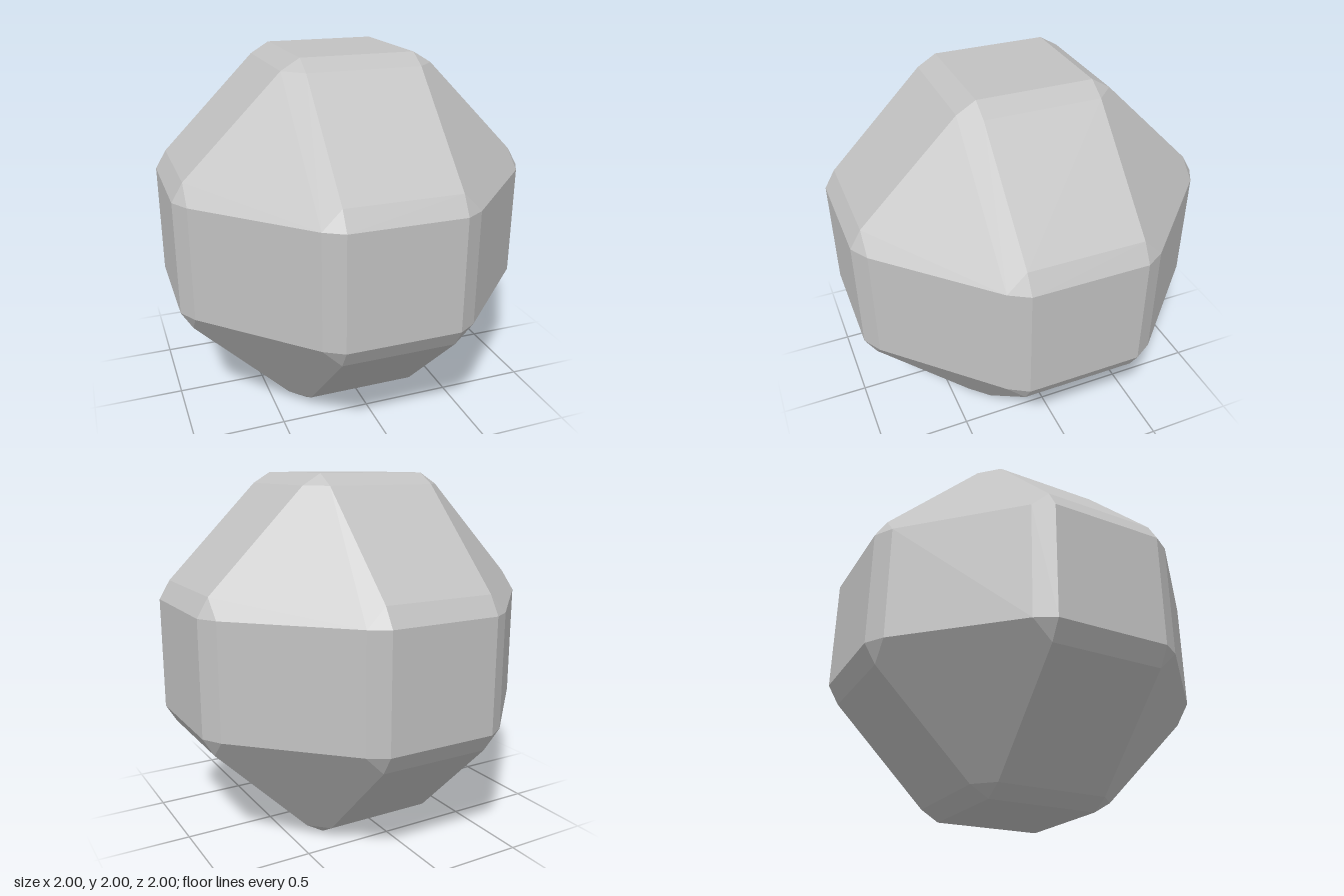
import * as THREE from 'three';

const S = 0.312;  // half width of each flat square
const B = 0.414;  // half width at the outer rim of the bevel
const D = 0.939;  // distance of that rim from the centre

const SIGNS = [1, -1];

// Flat-shaded geometry from convex polygons around the centre, wound outwards.
function polygons(list) {
  const pos = [];
  for (const poly of list) {
    const p = poly.map(c => new THREE.Vector3(...c));
    const normal = p[1].clone().sub(p[0]).cross(p[2].clone().sub(p[0]));
    if (normal.dot(p[0]) < 0) p.reverse();
    for (let i = 1; i < p.length - 1; i++) {
      for (const v of [p[0], p[i], p[i + 1]]) pos.push(v.x, v.y, v.z);
    }
  }
  const g = new THREE.BufferGeometry();
  g.setAttribute('position', new THREE.Float32BufferAttribute(pos, 3));
  g.computeVertexNormals();
  return g;
}

// Turns a point so that its first coordinate lies along axis k.
const turn = (p, k) => [p[(3 - k) % 3], p[(4 - k) % 3], p[(5 - k) % 3]];

export function createModel() {
  const grey = new THREE.MeshStandardMaterial({ color: 0xc2c2c2 });
  grey.name = 'grey';

  const squares = [], bevels = [], bevelCorners = [], bands = [], corners = [];
  for (let k = 0; k < 3; k++) {
    const add = (list, ...pts) => list.push(pts.map(p => turn(p, k)));
    for (const a of SIGNS) {
      // flat square on each of the six sides
      add(squares, [a, S, S], [a, -S, S], [a, -S, -S], [a, S, -S]);
      for (const b of SIGNS) {
        // bevel strips along the edges of the square
        add(bevels, [a, b * S, S], [a, b * S, -S], [a * D, b * B, -S], [a * D, b * B, S]);
        add(bevels, [a, S, b * S], [a, -S, b * S], [a * D, -S, b * B], [a * D, S, b * B]);
        // diagonal band joining two neighbouring squares
        add(bands, [a * D, b * B, S], [a * D, b * B, -S], [a * B, b * D, -S], [a * B, b * D, S]);
        // small triangles at the corners of the bevel
        for (const c of SIGNS) {
          add(bevelCorners, [a, b * S, c * S], [a * D, b * B, c * S], [a * D, b * S, c * B]);
        }
      }
    }
  }
  // large corner faces with clipped tips
  for (const a of SIGNS) for (const b of SIGNS) for (const c of SIGNS) {
    const ring = [[D, S, B], [D, B, S], [B, D, S], [S, D, B], [S, B, D], [B, S, D]];
    corners.push(ring.map(([x, y, z]) => [a * x, b * y, c * z]));
  }

  const group = new THREE.Group();
  group.name = 'bevelledPolyhedron';
  const parts = { squares, bevels, bevelCorners, bands, corners };
  for (const [name, list] of Object.entries(parts)) {
    const mesh = new THREE.Mesh(polygons(list), grey);
    mesh.name = name;
    mesh.position.y = 1;
    group.add(mesh);
  }
  return group;
}
